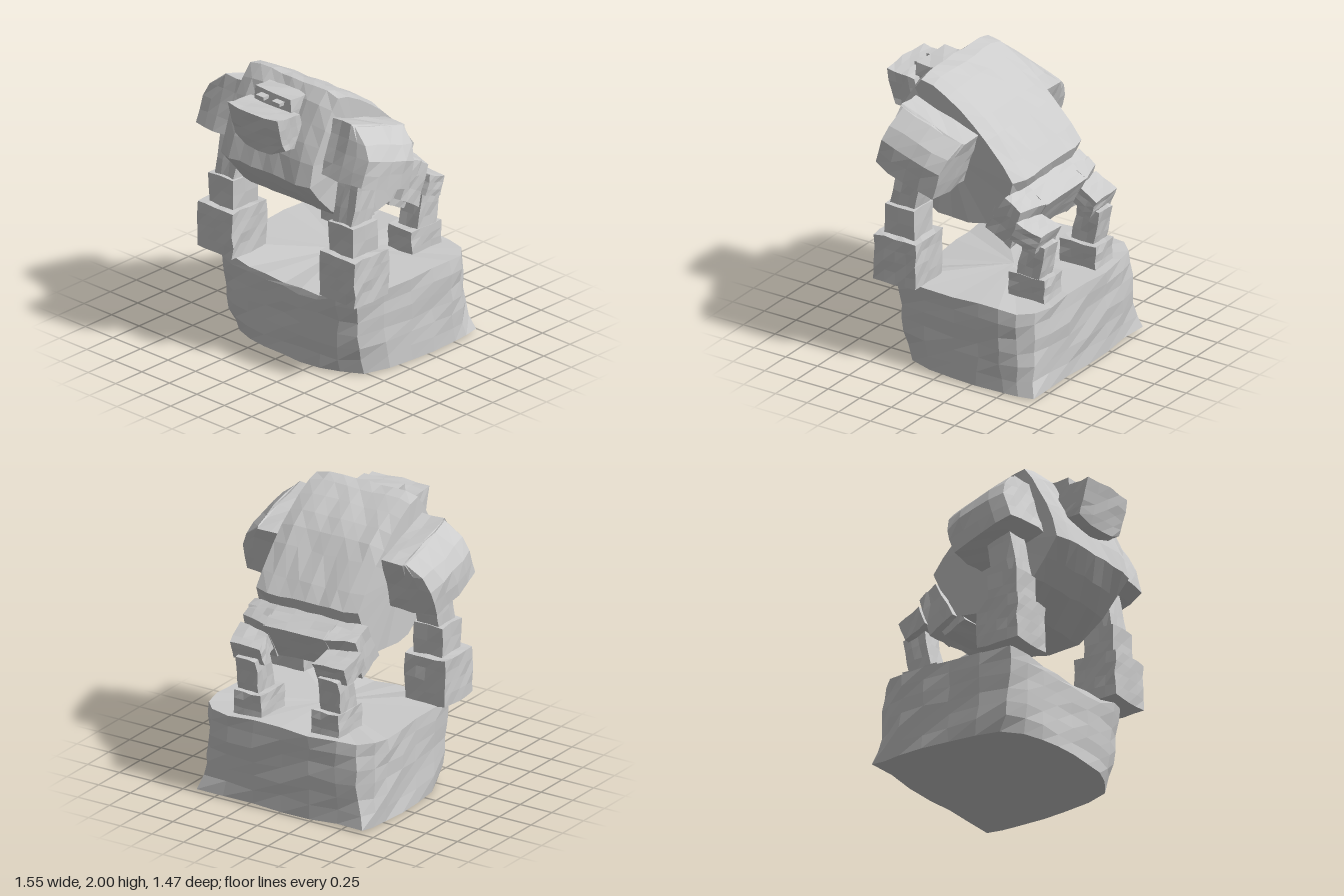
import * as THREE from 'three';
import { mergeVertices } from 'three/addons/utils/BufferGeometryUtils.js';

const stone = new THREE.MeshStandardMaterial({ color: 0xcccccc, flatShading: true });

// Repeatable noise from a position, -1..1
function noise(x, y, z, k) {
  const s = Math.sin(x * 127.1 + y * 311.7 + z * 74.7 + k * 53.3) * 43758.5453;
  return (s - Math.floor(s)) * 2 - 1;
}

function roughen(geo, amount) {
  const p = geo.attributes.position;
  for (let i = 0; i < p.count; i++) {
    const [x, y, z] = [p.getX(i), p.getY(i), p.getZ(i)].map((v) => Math.round(v * 1000) / 1000);
    p.setXYZ(i, x + noise(x, y, z, 1) * amount, y + noise(x, y, z, 2) * amount, z + noise(x, y, z, 3) * amount);
  }
  geo.computeVertexNormals();
  return geo;
}

function part(parent, name, geo, pos = [0, 0, 0], tilt = 0) {
  const m = new THREE.Mesh(geo, stone);
  m.name = name;
  m.position.set(...pos);
  m.rotation.x = tilt;
  parent.add(m);
}

// Subdivided box with welded corners, an optional shaping rule and rough faces
function rock(w, h, d, rule, seg = 3, amount = 0.006) {
  let geo = new THREE.BoxGeometry(w, h, d, seg, seg, seg);
  geo.deleteAttribute('normal');
  geo.deleteAttribute('uv');
  geo = mergeVertices(geo);
  if (rule) {
    const p = geo.attributes.position, v = new THREE.Vector3();
    for (let i = 0; i < p.count; i++) {
      v.fromBufferAttribute(p, i);
      rule(v, v.x / (w / 2), v.y / (h / 2), v.z / (d / 2));
      p.setXYZ(i, v.x, v.y, v.z);
    }
  }
  return roughen(geo, amount);
}

// Closed rings joined in a row, capped by fans at both ends
function loft(rings, amount) {
  const n = rings[0].length, pos = rings.flat(2), idx = [];
  const centre = (ring) => [0, 1, 2].map((a) => ring.reduce((s, p) => s + p[a], 0) / n);
  rings.slice(1).forEach((_, r) => {
    for (let i = 0; i < n; i++) {
      const a = r * n + i, b = r * n + (i + 1) % n;
      idx.push(a, b, b + n, a, b + n, a + n);
    }
  });
  const last = (rings.length - 1) * n, c0 = rings.length * n;
  pos.push(...centre(rings[0]), ...centre(rings[rings.length - 1]));
  for (let i = 0; i < n; i++) {
    const j = (i + 1) % n;
    idx.push(c0, j, i, c0 + 1, last + i, last + j);
  }
  const geo = new THREE.BufferGeometry();
  geo.setAttribute('position', new THREE.Float32BufferAttribute(pos, 3));
  geo.setIndex(idx);
  return roughen(geo, amount);
}

export function createModel() {
  const root = new THREE.Group();
  root.name = 'stoneApe';

  // Boulder pedestal: half outlines (x, z) at foot and rim, front to back, blended and mirrored
  const foot = [[0, 0.43], [0.16, 0.43], [0.32, 0.42], [0.46, 0.37], [0.58, 0.27], [0.65, 0.1],
    [0.67, -0.1], [0.68, -0.3], [0.68, -0.5], [0.67, -0.62], [0.65, -0.72], [0.45, -0.72], [0.22, -0.725], [0, -0.725]];
  const rim = [[0, 0.43], [0.16, 0.43], [0.32, 0.43], [0.48, 0.42], [0.61, 0.37], [0.65, 0.15],
    [0.66, -0.1], [0.67, -0.3], [0.68, -0.46], [0.65, -0.58], [0.56, -0.68], [0.42, -0.71], [0.22, -0.72], [0, -0.72]];
  const levels = [0.012, 0.11, 0.21, 0.31, 0.41, 0.51, 0.6];
  part(root, 'pedestal', loft(levels.map((y, r) => {
    const t = Math.sqrt(r / 6);
    const half = foot.map(([x, z], i) => {
      const px = x + (rim[i][0] - x) * t, pz = z + (rim[i][1] - z) * t;
      const dip = r === 6 && pz > 0.3 ? 0.065 * Math.max(0, 1 - (px / 0.6) ** 2) : 0;
      return [px, y - dip, pz];
    });
    return [...half, ...half.slice(1, -1).reverse().map(([px, py, pz]) => [-px, py, pz])];
  }), 0.01));

  // Torso: side profile (z, y) swept across the width, slightly smaller at the flanks
  const profile = [[0.33, 1.995], [0.4, 1.92], [0.47, 1.8], [0.53, 1.68], [0.58, 1.56], [0.625, 1.415],
    [0.52, 1.29], [0.41, 1.17], [0.2, 1.04], [0.08, 1.03], [-0.05, 1.03], [-0.2, 1.05], [-0.3, 1.18],
    [-0.38, 1.28], [-0.43, 1.4], [-0.35, 1.5], [-0.2, 1.66], [-0.1, 1.76], [0, 1.84], [0.12, 1.91], [0.24, 1.975]];
  const slices = [-0.4, -0.3, -0.2, -0.1, 0, 0.1, 0.2, 0.3, 0.4];
  part(root, 'torso', loft(slices.map((x) => {
    const s = Math.abs(x) > 0.35 ? 0.95 : 1;
    return profile.map(([z, y]) => [x, 1.5 + (y - 1.5) * (y > 1.5 ? s : 1), 0.1 + (z - 0.1) * s]);
  }), 0.007));

  // Head: brow, eyes and heavy muzzle
  const head = new THREE.Group();
  head.name = 'head';
  root.add(head);
  part(head, 'brow', rock(0.33, 0.16, 0.2, (v, x, y) => { v.z -= y > 0 ? 0.01 : 0; }, 2), [0, 1.865, 0.43]);
  part(head, 'muzzle', rock(0.45, 0.3, 0.22, (v, x, y, z) => {
    v.z += y * 0.035 + (z > 0 ? 0.025 * (1 - x * x) : 0);
    if (y < 0) v.y -= 0.06 * x * x * y;
    v.y += z * 0.008;
  }, 4, 0.005), [0, 1.715, 0.57]);
  for (const s of [1, -1]) {
    part(head, 'eye', new THREE.BoxGeometry(0.07, 0.024, 0.07), [s * 0.072, 1.908, 0.54]);
  }

  // Rump and pelvis between the hind legs
  part(root, 'rump', rock(0.49, 0.31, 0.2, (v, x, y) => {
    if (y < 0) v.y += 0.03 * (1 - x * x);
  }), [0, 1.14, -0.395], -0.51);
  part(root, 'pelvis', rock(0.78, 0.2, 0.18, (v, x, y) => {
    if (y < 0) v.y += 0.02 * (1 - x * x);
  }), [0, 1.07, -0.29], -0.45);

  for (const s of [1, -1]) {
    const side = s > 0 ? 'left' : 'right';

    // Arm: domed shoulder, upper arm, elbow and fist
    const arm = new THREE.Group();
    arm.name = side + 'Arm';
    root.add(arm);
    part(arm, 'shoulder', rock(0.4, 0.39, 0.52, (v, x, y, z) => {
      const out = x * s, up = Math.max(0, y);
      if (out > 0) v.x -= s * out * (0.04 * up + 0.13 * up * up + 0.02 * z * z);
      v.z *= 1 - 0.08 * Math.max(0, out) ** 2;
    }, 4, 0.008), [s * 0.57, 1.58, 0.18], -0.31);
    part(arm, 'upperArm', rock(0.17, 0.42, 0.19), [s * 0.535, 1.29, 0.295], -0.21);
    part(arm, 'elbow', rock(0.22, 0.22, 0.23, null, 2), [s * 0.545, 1.025, 0.33]);
    part(arm, 'fist', rock(0.32, 0.33, 0.33, null, 4), [s * 0.555, 0.76, 0.33]);

    // Hind leg: thigh with chamfered outer back edge, knee, shin and foot
    const leg = new THREE.Group();
    leg.name = side + 'Leg';
    root.add(leg);
    part(leg, 'thigh', rock(0.22, 0.32, 0.21, (v, x, y, z) => {
      const out = (x * s + 1) / 2, up = (y + 1) / 2;
      if (z < 0) v.z += 0.06 * out * up;
      v.y -= 0.03 * out * up;
    }), [s * 0.335, 1.14, -0.39], -0.51);
    part(leg, 'knee', rock(0.24, 0.14, 0.19, (v, x, y, z) => { v.x += s * 0.015 * z; }), [s * 0.345, 1.06, -0.54], -0.38);
    part(leg, 'shin', rock(0.16, 0.28, 0.175), [s * 0.325, 0.87, -0.54], -0.2);
    part(leg, 'foot', rock(0.21, 0.17, 0.28), [s * 0.305, 0.67, -0.51]);
  }
  return root;
}
